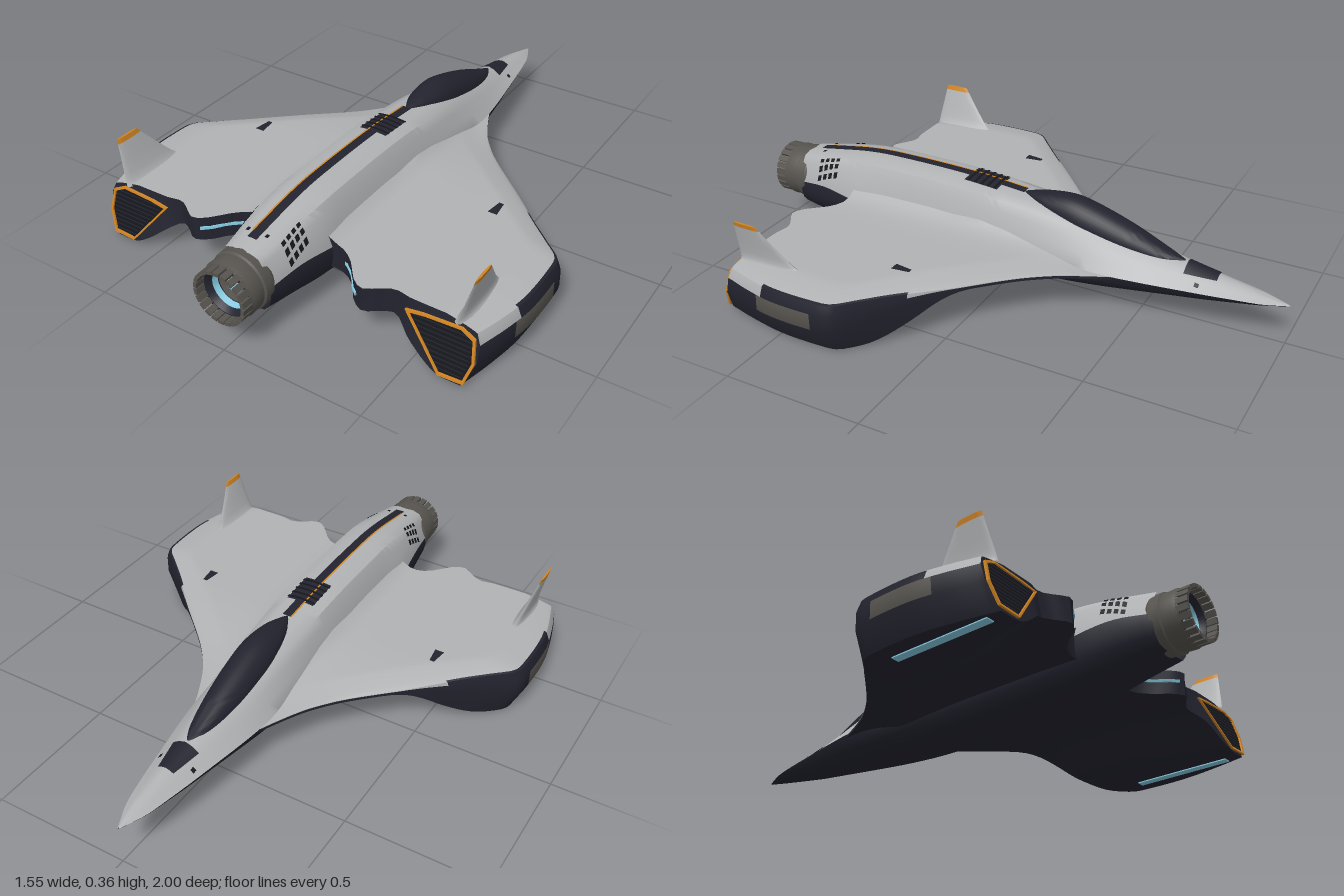
import * as THREE from 'three';
import { toCreasedNormals } from 'three/addons/utils/BufferGeometryUtils.js';

const mat = (name, color, side = THREE.FrontSide) => {
  const m = new THREE.MeshStandardMaterial({ color, side });
  m.name = name;
  return m;
};
const lerp = THREE.MathUtils.lerp;
const smooth = (a, b, x) => THREE.MathUtils.smoothstep(x, a, b);

// Smooth interpolation of column c in a table sorted by its first column
function read(t, x, c = 1) {
  const n = t.length;
  if (x <= t[0][0]) return t[0][c];
  if (x >= t[n - 1][0]) return t[n - 1][c];
  let i = 0;
  while (t[i + 1][0] < x) i++;
  const slope = (k) => {
    const p = t[Math.max(k - 1, 0)], q = t[Math.min(k + 1, n - 1)];
    return (q[c] - p[c]) / (q[0] - p[0]);
  };
  const h = t[i + 1][0] - t[i][0], s = (x - t[i][0]) / h, r = 1 - s;
  return (1 + 2 * s) * r * r * t[i][c] + s * r * r * h * slope(i)
    + s * s * (3 - 2 * s) * t[i + 1][c] - s * s * r * h * slope(i + 1);
}

// Skin over rows of points; pick(i, j) gives the material index, cap closes the last row
function skin(rows, pick = () => 0, crease = 0.7, cap = -1) {
  const n = rows[0].length, lists = [[], [], [], []];
  for (let i = 0; i < rows.length - 1; i++) for (let j = 0; j < n - 1; j++) {
    const a = i * n + j, c = a + n;
    lists[pick(i, j)].push(a, c, a + 1, a + 1, c, c + 1);
  }
  if (cap >= 0) for (let k = 0; k < Math.floor(n / 2) - 1; k++) {
    const t = (rows.length - 1) * n + k, b = rows.length * n - 1 - k;
    lists[cap].push(t, b, t + 1, t + 1, b, b - 1);
  }
  const g = new THREE.BufferGeometry();
  g.setAttribute('position', new THREE.Float32BufferAttribute(rows.flat(2), 3));
  g.setIndex(lists.flat());
  let start = 0;
  lists.forEach((l, m) => { if (l.length) g.addGroup(start, l.length, m); start += l.length; });
  return toCreasedNormals(g, crease);
}

// Fuselage stations: z, half width, top, bottom, chine height
const HULL = [
  [-1, .003, .147, .143, .145], [-.92, .038, .165, .133, .147], [-.85, .056, .178, .122, .15],
  [-.7, .085, .205, .1, .153], [-.41, .132, .27, .075, .16], [-.2, .14, .315, .062, .165],
  [0, .14, .335, .06, .17], [.2, .14, .35, .058, .17], [.5, .14, .353, .06, .175],
  [.62, .138, .345, .066, .2], [.75, .122, .325, .085, .215], [.88, .1, .303, .1, .2]];
const NOSE = [[0, 1], [.2, .92], [.4, .75], [.6, .5], [.8, .24], [1, 0], [.92, -.3], [.75, -.6], [.5, -.85], [.25, -.97], [0, -1]];
const BODY = [[0, 1], [.35, .985], [.62, .9], [.75, .7], [.85, .4], [1, 0], [1, -.35], [.92, -.7], [.7, -.95], [.4, -1], [0, -1]];

function hullHalf(z) {
  const [w, top, bot, mid] = [1, 2, 3, 4].map((c) => read(HULL, z, c));
  const t = smooth(-.75, .1, z);
  return NOSE.map(([x, y], k) => {
    const v = lerp(y, BODY[k][1], t);
    return [lerp(x, BODY[k][0], t) * w, mid + v * (v > 0 ? top - mid : mid - bot), z];
  });
}
function hullY(x, z) {
  const h = hullHalf(z), a = Math.abs(x);
  let k = 0;
  while (k < 4 && h[k + 1][0] < a) k++;
  return lerp(h[k][1], h[k + 1][1], Math.min(1, (a - h[k][0]) / (h[k + 1][0] - h[k][0])));
}

// Wing planform: half span by z, and trailing edge z by x
const SPAN = [[-.46, .115], [-.41, .135], [-.37, .153], [-.3, .188], [-.24, .225], [-.15, .3], [-.01, .45],
  [.13, .6], [.22, .705], [.27, .76], [.32, .772], [.49, .772], [.6, .75], [.7, .72]];
const TRAIL = [[.05, .62], [.18, .62], [.24, .66], [.28, .71], [.33, .74], [.38, .71], [.42, .69], [.48, .7], [.8, .7]];
const edgeY = (z) => lerp(.16, .175, smooth(-.4, .2, z));
function wingTop(x, z) {
  const d = Math.max(0, read(SPAN, z) - x);
  return edgeY(z) + .032 * smooth(-.5, .1, z) * Math.min(1, d / .12) ** .6
    + .045 * smooth(-.4, .1, z) * Math.exp(-Math.max(0, x - .11) / .035) * Math.min(1, d / .08);
}
function wingBottom(x, z) {
  const d = Math.max(0, read(SPAN, z) - x), back = smooth(.4, .7, z);
  const base = edgeY(z) - .012 - .043 * smooth(0, .2, d);
  const pod = smooth(lerp(.3, .4, back), lerp(.55, .62, back), x) * smooth(-.06, .23, z);
  return lerp(base, .004, pod);
}
function wingPoint(x, y, z) {
  if (z <= .5) return [x, y, z];
  const s = (z - .5) / .2;
  return [x, y, .5 + s * (read(TRAIL, x) - .5) + s * .05 * smooth(.4, .5, x) * (1 - y / .2)];
}

export function createModel() {
  const hull = mat('hullGrey', 0xb0b2b4);
  const dark = mat('darkNavy', 0x22232e, THREE.DoubleSide);
  const metal = mat('engineMetal', 0x57544f, THREE.DoubleSide);
  const orange = mat('orangeTrim', 0xd08422, THREE.DoubleSide);
  const glow = mat('paleBlueGlow', 0x86cbe2, THREE.DoubleSide);
  const black = mat('grilleBlack', 0x15161b, THREE.DoubleSide);
  const skins = [hull, dark, metal, orange];
  const model = new THREE.Group();
  const add = (parent, name, geo, m) => {
    const mesh = new THREE.Mesh(geo, m);
    mesh.name = name;
    parent.add(mesh);
    return mesh;
  };
  // Thin plate lying on a surface; taper narrows its front end
  const plate = (parent, name, m, x0, x1, z0, z1, surf, lift = .004, taper = 1) => {
    const nz = Math.max(2, Math.ceil((z1 - z0) / .03)), rows = [];
    for (let i = 0; i <= nz; i++) {
      const z = lerp(z0, z1, i / nz), f = lerp(taper, 1, i / nz), c = (x0 + x1) / 2;
      rows.push([0, .25, .5, .75, 1].map((s) => {
        const x = c + (lerp(x0, x1, s) - c) * f;
        return [x, surf(x, z) + lift, z];
      }));
    }
    add(parent, name, skin(rows), [m]);
  };

  // Fuselage, grey above the chine and dark below
  const hullRows = [];
  for (let i = 0; i <= 60; i++) {
    const half = hullHalf(lerp(-1, .88, i / 60));
    hullRows.push([...half, ...half.slice(0, -1).reverse().map(([x, y, z]) => [-x, y, z])]);
  }
  add(model, 'fuselage', skin(hullRows, (i, j) => (j < 5 || j > 14 ? 0 : 1)), skins);

  // Teardrop canopy
  const CANOPY = [[-.65, .003, .214], [-.58, .034, .24], [-.45, .058, .295], [-.3, .067, .345],
    [-.22, .064, .36], [-.12, .046, .351], [-.05, .014, .337], [-.03, .002, .33]];
  const canopyRows = [];
  for (let i = 0; i <= 30; i++) {
    const z = lerp(-.65, -.03, i / 30), w = read(CANOPY, z), base = hullY(w, z) - .006;
    const row = [];
    for (let j = 0; j <= 16; j++) {
      const a = Math.PI * (1 - j / 16);
      row.push([w * Math.cos(a), base + (read(CANOPY, z, 2) - base) * Math.sin(a), z]);
    }
    canopyRows.push(row);
  }
  add(model, 'canopy', skin(canopyRows), [dark]);

  // Spine stripe, nose panel and dorsal vent
  plate(model, 'nosePanel', dark, -.05, .05, -.76, -.65, hullY, .004, .6);
  plate(model, 'spineStripe', dark, -.017, .017, -.04, .83, hullY, .005);
  plate(model, 'spinePinstripe', orange, -.021, -.015, -.04, .8, hullY, .006);
  plate(model, 'dorsalVent', dark, -.052, .052, .05, .18, hullY, .004);
  for (let k = 0; k < 5; k++) plate(model, 'dorsalSlat', black, -.055, .055, .055 + k * .026, .065 + k * .026, hullY, .007);

  // Engine nozzle with a ring of petals and a glowing core
  const engine = new THREE.Group();
  engine.name = 'engine';
  engine.position.y = .2;
  model.add(engine);
  const lathe = (name, m, pts) => add(engine, name, toCreasedNormals(
    new THREE.LatheGeometry(pts.map(([r, z]) => new THREE.Vector2(r, z)), 40).rotateX(Math.PI / 2), .5), m);
  lathe('nozzleCollar', metal, [[.09, .84], [.104, .865], [.104, .9], [.098, .905], [.1, .945], [.094, .965]]);
  lathe('nozzleLip', dark, [[.094, .965], [.082, .965], [.07, .95], [.06, .92]]);
  lathe('innerRing', metal, [[.062, .925], [.036, .915]]);
  lathe('glowRing', glow, [[.068, .947], [.062, .928]]);
  add(engine, 'glowCore', new THREE.CircleGeometry(.037, 32).translate(0, 0, .92), glow);
  for (let k = 0; k < 22; k++) {
    const g = new THREE.BoxGeometry(.021, .012, .06).translate(0, .09, .97);
    add(engine, 'nozzlePetal', g.rotateZ(k / 22 * Math.PI * 2), metal);
  }

  // One wing with its pod, built on +x
  const wingHalf = () => {
    const side = new THREE.Group(), rows = [], zs = [], N = 30;
    for (let i = 0; i <= 58; i++) {
      const z = lerp(-.46, .7, i / 58), w = read(SPAN, z), q = smooth(-.02, .28, z);
      const inset = .04 * q, top = [], low = [];
      for (let k = 0; k <= N; k++) {
        const s = 1 - (1 - k / N) ** 1.25;
        const xt = lerp(.05, w - .014 * q, s), xb = lerp(.05, w - inset, s);
        top.push(wingPoint(xt, wingTop(xt, z), z));
        low.push(wingPoint(xb, wingBottom(xb, z), z));
      }
      const e = edgeY(z);
      top.push(wingPoint(w, lerp(e - .002, .15, q), z));
      low.push(wingPoint(w, lerp(e - .004, .09, q), z));
      rows.push([...top, ...low.reverse()]);
      zs.push(z);
    }
    const pick = (i, j) => {
      if (j < N - 1) return 0;
      if (j <= N) return zs[i] < .08 || zs[i] > .52 ? 0 : 1;
      return j === N + 1 && zs[i] > .33 && zs[i] < .55 ? 2 : 1;
    };
    add(side, 'wing', skin(rows, pick, .6, 1), skins);

    // Pod exhaust: grille, slats and orange frame on the sloped rear face
    const rim = [[.47, .172], [.605, .014], [.69, .018], [.714, .09], [.705, .165], [.66, .186], [.53, .18]];
    const shape = (f) => new THREE.Shape(rim.map(([x, y]) => new THREE.Vector2(.615 + (x - .615) * f, .11 + (y - .11) * f)));
    const slope = (g, lift) => {
      const p = g.attributes.position;
      for (let i = 0; i < p.count; i++) p.setZ(i, p.getZ(i) + .75 - .25 * p.getY(i) + lift);
      g.computeVertexNormals();
      return g;
    };
    add(side, 'exhaustGrille', slope(new THREE.ShapeGeometry(shape(.98)), .004), black);
    const frame = shape(1.02);
    frame.holes.push(shape(.93));
    add(side, 'exhaustFrame', slope(new THREE.ExtrudeGeometry(frame, { depth: .008, bevelEnabled: false }), .002), orange);
    for (let k = 0; k < 10; k++) {
      const y = .034 + k * .0148, x0 = .618 - (y - .014) * .855, x1 = y < .09 ? .678 + (y - .03) * .38 : .698;
      add(side, 'exhaustSlat', slope(new THREE.PlaneGeometry(x1 - x0, .004).translate((x0 + x1) / 2, y, 0), .007), dark);
    }

    // Light bars on the trailing edge and under the pod
    const bar = new THREE.BoxGeometry(.11, .01, .008, 10, 1, 1).translate(.25, .168, 0);
    const bp = bar.attributes.position;
    for (let i = 0; i < bp.count; i++) bp.setZ(i, bp.getZ(i) + read(TRAIL, bp.getX(i)) + .002);
    add(side, 'trailingLight', bar, glow);
    add(side, 'podLight', new THREE.BoxGeometry(.03, .004, .36).translate(.665, .002, .52), glow);

    // Canted tail fin with an orange tip
    const finRows = [];
    for (const t of [0, .05, .12, .25, .5, .75, .9, 1, 1]) {
      const flare = .018 * Math.exp(-t * 14), end = finRows.length === 8 ? 0 : 1, row = [];
      const z0 = lerp(.47, .6, t) - flare, z1 = lerp(.715, .69, t);
      for (let j = 0; j <= 20; j++) {
        const a = j / 20 * Math.PI * 2;
        row.push([lerp(.642, .685, t) + Math.sin(a) * (lerp(.013, .004, t) + flare) * end,
          lerp(.195, .355, t), (z0 + z1) / 2 - Math.cos(a) * (z1 - z0) / 2 * end]);
      }
      finRows.push(row);
    }
    add(side, 'tailFin', skin(finRows, (i) => (i >= 6 ? 3 : 0), .8), skins);

    // Small wing vent, tail louvres and sensor dots
    plate(side, 'wingVent', dark, .463, .497, .14, .205, wingTop, .004, .5);
    for (let r = 0; r < 4; r++) for (let c = 0; c < 3; c++) {
      const x = .078 + c * .013, z = .7 + r * .025;
      plate(side, 'tailLouvre', black, x, x + .008, z, z + .016, hullY, .004);
    }
    plate(side, 'noseSensor', black, .058, .07, -.71, -.695, hullY, .003);
    plate(side, 'tailSensor', black, .03, .042, .795, .808, hullY, .004);
    return side;
  };
  const left = wingHalf(), right = wingHalf();
  left.name = 'leftWing';
  right.name = 'rightWing';
  right.scale.x = -1;
  model.add(left, right);
  return model;
}
